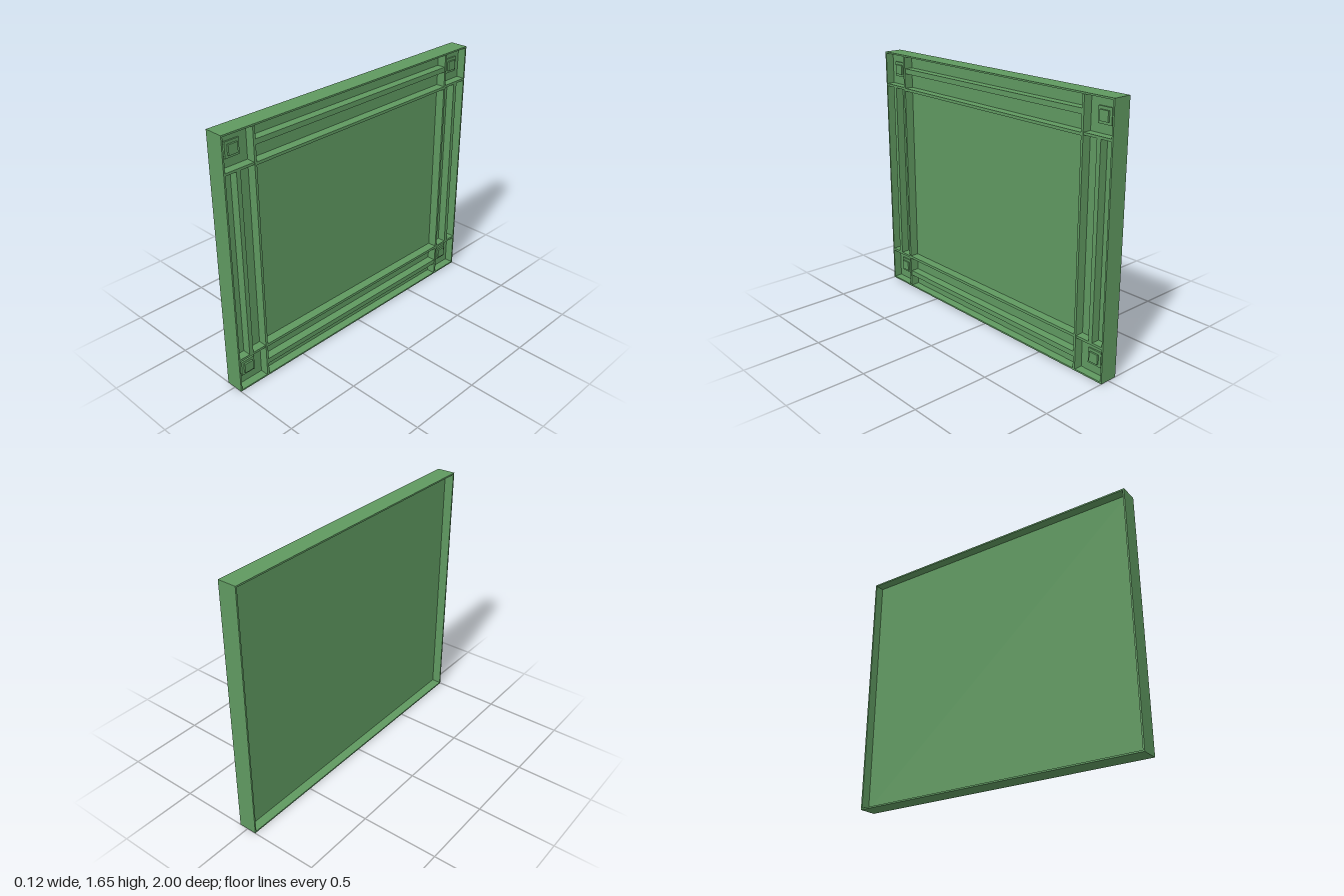
import * as THREE from 'three';

const H = 1.65, MID = H / 2;
const BACK = -0.0625, RIM = 0.0585, FRONT = 0.0625; // depths along x
const FLOOR = 0.004;                                // front of the thin panel sheet

export function createModel() {
  const root = new THREE.Group();
  root.name = 'framedPanel';
  const material = new THREE.MeshStandardMaterial({ color: 0x5f9960, flatShading: true, side: THREE.DoubleSide });

  // Box from its extents; y is measured from the middle of the panel
  const box = (name, x0, x1, y0, y1, z0, z1) => {
    const mesh = new THREE.Mesh(new THREE.BoxGeometry(x1 - x0, Math.abs(y1 - y0), Math.abs(z1 - z0)), material);
    mesh.position.set((x0 + x1) / 2, MID + (y0 + y1) / 2, (z0 + z1) / 2);
    mesh.name = name;
    root.add(mesh);
  };

  // Thin sheet that closes the frame, open box behind it
  box('panelSheet', -0.002, FLOOR, -0.815, 0.815, -0.99, 0.99);

  for (const s of [-1, 1]) {
    // Outer rim walls
    box('rimRail', BACK, RIM, s * 0.815, s * MID, -1, 1);
    box('rimStile', BACK, RIM, -0.815, 0.815, s * 0.99, s);

    // Walls around the central panel
    box('stileWall', FLOOR, FRONT, -0.815, 0.815, s * 0.782, s * 0.797);
    box('railWall', FLOOR, FRONT, s * 0.59, s * 0.608, -0.782, 0.782);

    // Slim bars running along the middle of the rails and stiles
    box('railBar', FLOOR, RIM, s * 0.705, s * 0.738, -0.782, 0.782);
    box('stileBar', FLOOR, RIM, -0.595, 0.595, s * 0.89, s * 0.918);

    // Corner cells with a stepped square stud
    for (const t of [-1, 1]) {
      box('cornerWall', FLOOR, RIM, s * 0.595, s * 0.61, t * 0.797, t * 0.99);
      const stud = (name, depth, r) =>
        box(name, FLOOR, depth, s * 0.712 - r, s * 0.712 + r, t * 0.902 - r, t * 0.902 + r);
      stud('studBase', 0.014, 0.048);
      stud('studTop', 0.026, 0.031);
    }
  }
  return root;
}
